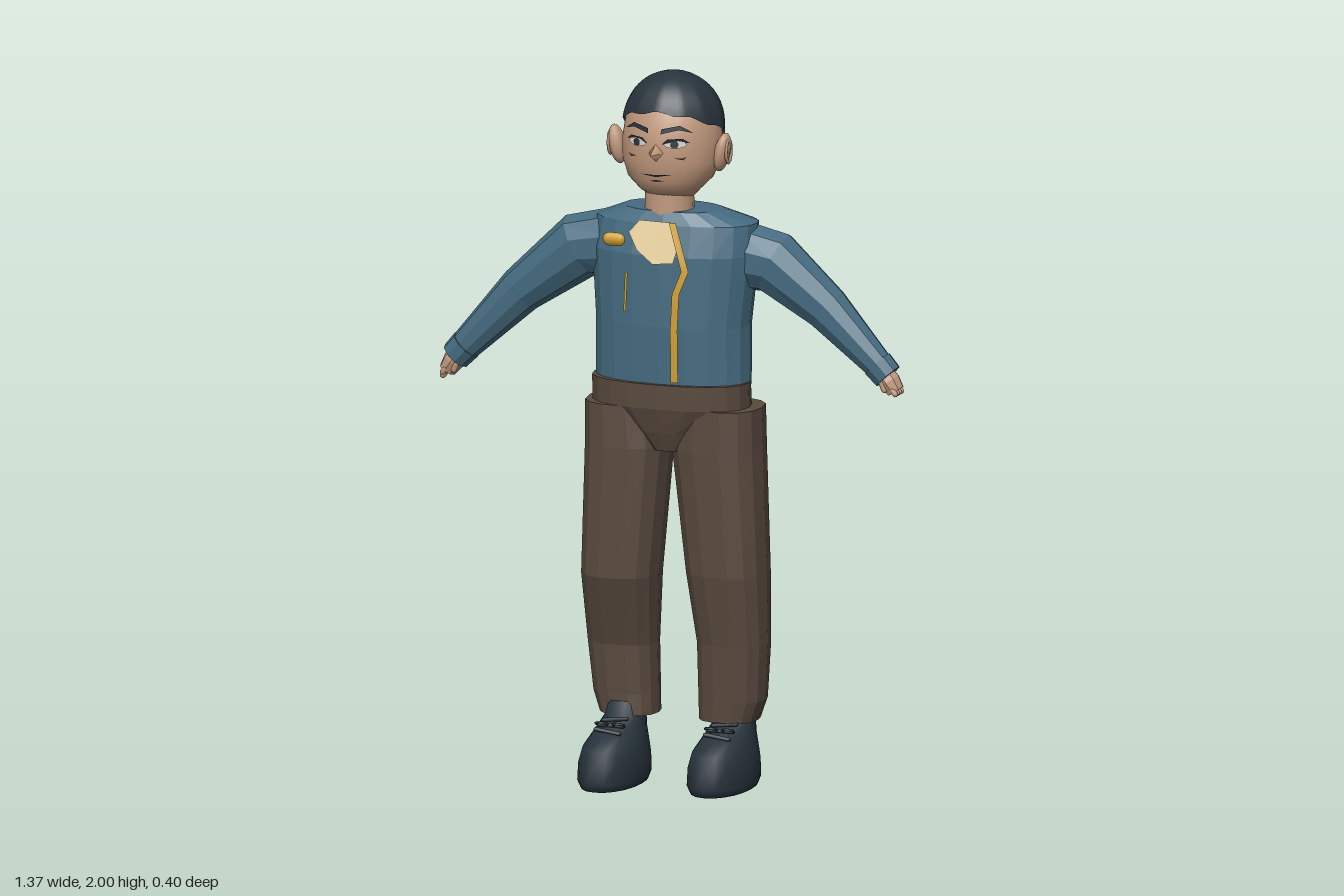
import * as THREE from 'three';
import { mergeVertices } from 'three/addons/utils/BufferGeometryUtils.js';

const paint = (name, color, side = THREE.FrontSide) => {
  const m = new THREE.MeshStandardMaterial({ color, side });
  m.name = name;
  return m;
};

export function createModel() {
  const root = new THREE.Group();
  const shirt = paint('blue cloth', 0x456b80);
  const brown = paint('brown cloth', 0x594a3f);
  const skin = paint('skin', 0xc0987c);
  const dark = paint('hair and shoe black', 0x28333b, THREE.DoubleSide);
  const gold = paint('gold', 0xd09f30);
  const cream = paint('cream', 0xe6cf9c);
  const white = paint('eye white', 0xd8d2c8);
  const line = paint('face line', 0x5c3b30);

  const add = (name, geo, mat, pos) => {
    const m = new THREE.Mesh(geo, mat);
    m.name = name;
    if (pos) m.position.set(...pos);
    root.add(m);
    return m;
  };

  // Closed skin over elliptic rings [x, y, z, halfWidth, halfDepth, tilt]
  function loft(rings, n, power = 1, smooth = false) {
    const pos = [], idx = [];
    const bend = v => Math.sign(v) * Math.abs(v) ** power;
    for (const [x, y, z, a, b, t = 0] of rings) {
      for (let i = 0; i < n; i++) {
        const p = (i / n) * Math.PI * 2, u = a * bend(Math.cos(p));
        pos.push(x + u * Math.cos(t), y + u * Math.sin(t), z + b * bend(Math.sin(p)));
      }
    }
    const last = (rings.length - 1) * n, c0 = rings.length * n;
    pos.push(...rings[0].slice(0, 3), ...rings.at(-1).slice(0, 3));
    for (let i = 0; i < n; i++) {
      const j = (i + 1) % n;
      for (let r = 0; r < last; r += n) {
        idx.push(r + i, r + n + i, r + j, r + j, r + n + i, r + n + j);
      }
      idx.push(c0, i, j, c0 + 1, last + j, last + i);
    }
    let g = new THREE.BufferGeometry();
    g.setAttribute('position', new THREE.Float32BufferAttribute(pos, 3));
    g.setIndex(idx);
    if (!smooth) g = g.toNonIndexed();
    g.computeVertexNormals();
    return g;
  }

  // Upright ring from its left, right, front and back limits
  const span = ([y, x0, x1, zf, zb]) =>
    [(x0 + x1) / 2, y, (zf + zb) / 2, (x1 - x0) / 2, (zf - zb) / 2];

  // Tilt each ring square to its path in the xy plane
  const along = path => path.map((p, i) => {
    const a = path[Math.max(i - 1, 0)], b = path[Math.min(i + 1, path.length - 1)];
    return [...p, Math.atan2(a[0] - b[0], b[1] - a[1])];
  });

  // Front surface depth of a ring stack
  const frontOf = rings => (x, y) => {
    let i = 0;
    while (i < rings.length - 2 && rings[i + 1][1] < y) i++;
    const A = rings[i], B = rings[i + 1];
    const k = THREE.MathUtils.clamp((y - A[1]) / (B[1] - A[1]), 0, 1);
    const [cx, , cz, a, b] = A.map((v, q) => v + (B[q] - v) * k);
    return cz + b * Math.sqrt(Math.max(0, 1 - ((x - cx) / a) ** 2));
  };

  // Thin painted patch laid on a front surface
  function patch(name, pts, mat, surface, lift) {
    const g = new THREE.ShapeGeometry(new THREE.Shape(pts.map(p => new THREE.Vector2(...p))));
    const p = g.attributes.position;
    for (let i = 0; i < p.count; i++) p.setZ(i, surface(p.getX(i), p.getY(i)) + lift);
    g.computeVertexNormals();
    return add(name, g, mat);
  }
  const strip = (pts, w) => [...pts.map(([x, y]) => [x - w, y]),
    ...pts.slice().reverse().map(([x, y]) => [x + w, y])];
  const oval = (x, y, a, b, n = 10) => Array.from({ length: n }, (_, i) => {
    const t = (i / n) * Math.PI * 2;
    return [x + a * Math.cos(t), y + b * Math.sin(t)];
  });

  // Torso
  const torso = [[1.06, -0.19, 0.24, 0.055, -0.17], [1.14, -0.2, 0.247, 0.068, -0.175],
    [1.3, -0.2, 0.245, 0.074, -0.19], [1.5, -0.215, 0.265, 0.068, -0.2],
    [1.585, -0.205, 0.262, 0.045, -0.19], [1.62, -0.12, 0.165, 0.03, -0.135]].map(span);
  add('torso', loft(torso, 20, 0.9), shirt);
  const chest = frontOf(torso);

  // Collar lining, zip, pocket line and badge
  patch('collarLining', [[-0.07, 1.56], [-0.04, 1.595], [0.055, 1.595], [0.08, 1.525],
    [0.07, 1.485], [0.01, 1.48], [-0.04, 1.515]], cream, chest, 0.011);
  const zip = [[0.076, 1.15], [0.076, 1.3], [0.08, 1.4], [0.105, 1.465], [0.085, 1.53], [0.06, 1.595]];
  patch('zip', strip(zip, 0.01), gold, chest, 0.016);
  patch('pocketLine', strip([[-0.074, 1.34], [-0.07, 1.45]], 0.004), gold, chest, 0.012);
  add('badge', new THREE.CapsuleGeometry(0.019, 0.028, 3, 8).rotateZ(Math.PI / 2)
    .scale(1, 1, 0.65), gold, [-0.083, 1.555, 0.132]);

  // Trousers
  add('hips', loft([[0.945, -0.03, 0.095, 0.04, -0.12], [1.0, -0.1, 0.15, 0.06, -0.145],
    [1.07, -0.205, 0.25, 0.078, -0.165], [1.14, -0.205, 0.25, 0.08, -0.155]].map(span), 20, 0.85), brown);
  add('leftLeg', loft([[0.18, 0.097, 0.262, 0, -0.155], [0.24, 0.096, 0.284, 0.005, -0.157],
    [0.4, 0.095, 0.295, 0.02, -0.16], [0.6, 0.07, 0.297, 0.05, -0.162],
    [0.95, 0.03, 0.287, 0.06, -0.165], [1.07, 0.04, 0.285, 0.06, -0.16]].map(span), 14, 0.8), brown);
  add('rightLeg', loft([[0.18, -0.195, -0.03, 0, -0.15], [0.24, -0.215, -0.03, 0, -0.15],
    [0.38, -0.23, -0.032, 0.008, -0.152], [0.58, -0.232, -0.015, 0.07, -0.145],
    [0.95, -0.222, 0.018, 0.072, -0.155], [1.07, -0.222, 0.0, 0.068, -0.155]].map(span), 14, 0.8), brown);

  // Shoes, with laces
  for (const [side, x, z] of [['left', 0.19, -0.03], ['right', -0.118, 0.01]]) {
    add(side + 'Shoe', loft([[0, -0.08, 0.08, 0.18, -0.13], [0.02, -0.089, 0.089, 0.187, -0.135],
      [0.07, -0.087, 0.087, 0.183, -0.135], [0.11, -0.078, 0.078, 0.165, -0.134],
      [0.145, -0.064, 0.064, 0.09, -0.132], [0.175, -0.056, 0.056, 0.005, -0.13],
      [0.22, -0.056, 0.056, -0.005, -0.125]].map(span)
      .map(r => [r[0] + x, r[1], r[2] + z, r[3], r[4]]), 20, 0.95, true), dark);
    for (let i = 0; i < 3; i++) {
      const lace = add(side + 'Lace', new THREE.CapsuleGeometry(0.006, 0.07, 2, 6)
        .rotateZ(Math.PI / 2), dark, [x, 0.152 + i * 0.011, z + 0.08 - i * 0.03]);
      lace.rotation.z = (i - 1) * 0.12;
    }
    for (const s of [-1, 1]) {
      const loop = add(side + 'Bow', new THREE.TorusGeometry(0.017, 0.004, 4, 10), dark,
        [x + s * 0.025, 0.168, z + 0.06]);
      loop.rotation.x = 1.2;
    }
  }

  // Sleeves, cuffs and hands
  const arms = {
    left: [[0.2, 1.49, -0.085, 0.1, 0.075], [0.31, 1.475, -0.085, 0.092, 0.075],
      [0.465, 1.357, -0.085, 0.066, 0.06], [0.63, 1.205, -0.07, 0.041, 0.038]],
    right: [[-0.15, 1.5, -0.065, 0.1, 0.075], [-0.255, 1.485, -0.065, 0.092, 0.075],
      [-0.43, 1.345, -0.062, 0.066, 0.055], [-0.6, 1.168, -0.05, 0.043, 0.035]],
  };
  for (const [side, path] of Object.entries(arms)) {
    const s = side === 'left' ? 1 : -1;
    add(side + 'Sleeve', loft(along(path), 10), shirt);
    const [x, y, z] = path.at(-1);
    add(side + 'Cuff', loft(along([[x - s * 0.012, y + 0.012, z, 0.046, 0.042],
      [x + s * 0.02, y - 0.022, z, 0.043, 0.04]]), 10), shirt);
    add(side + 'Hand', loft(along([[x, y, z, 0.024, 0.026],
      [x + s * 0.025, y - 0.035, z, 0.031, 0.032],
      [x + s * 0.043, y - 0.062, z, 0.025, 0.028]]), 8), skin);
    for (let i = 0; i < 4; i++) {
      const long = s < 0 && i === 0 ? 0.035 : 0.012;
      const f = add(side + 'Finger', new THREE.CapsuleGeometry(0.0085, long, 2, 6), skin,
        [x + s * (0.04 + long * 0.45), y - 0.055 - long * 0.5, z - 0.025 + i * 0.016]);
      f.rotation.z = s * 0.7;
    }
    const thumb = add(side + 'Thumb', new THREE.CapsuleGeometry(0.009, 0.025, 2, 6), skin,
      [x + s * 0.012, y - 0.045, z + 0.022]);
    thumb.rotation.z = s * 0.4;
  }

  // Neck and head
  add('neck', new THREE.CylinderGeometry(0.066, 0.07, 0.12, 16), skin, [0.018, 1.645, -0.035]);
  const head = [[1.65, -0.04, 0.08, 0.0, -0.1], [1.675, -0.065, 0.105, 0.045, -0.115],
    [1.71, -0.1, 0.14, 0.068, -0.145], [1.76, -0.119, 0.159, 0.076, -0.175],
    [1.82, -0.12, 0.16, 0.078, -0.187], [1.9, -0.108, 0.148, 0.064, -0.182],
    [1.95, -0.07, 0.11, 0.02, -0.14]].map(span);
  add('head', loft(head, 28, 1, true), skin);
  const face = frontOf(head);
  for (const s of [-1, 1]) {
    const ear = add('ear', new THREE.SphereGeometry(1, 12, 10).scale(0.022, 0.056, 0.031), skin,
      [0.016 + s * 0.155, 1.785, -0.042]);
    ear.rotation.z = -s * 0.2;
    add('innerEar', new THREE.TorusGeometry(0.018, 0.005, 5, 12).scale(1, 1.7, 1)
      .rotateY(Math.PI / 2), skin, [0.016 + s * 0.174, 1.79, -0.04]);

    // Eyes, brows and cheek creases
    const ex = 0.018 + s * 0.056, at = (dx, y) => [ex + s * dx, y];
    patch('eyeWhite', oval(ex, 1.821, 0.03, 0.011), white, face, 0.005);
    patch('iris', oval(ex, 1.821, 0.011, 0.0105), dark, face, 0.008);
    const ccw = pts => (s > 0 ? pts : pts.reverse());
    patch('upperLid', ccw([at(-0.034, 1.822), at(0.036, 1.826), at(0.02, 1.838), at(-0.02, 1.836)]),
      dark, (x, y) => face(x, 1.825), 0.007);
    patch('brow', ccw([at(-0.038, 1.85), at(0.01, 1.862), at(0.045, 1.852), at(0.012, 1.874),
      at(-0.036, 1.864)]), dark, face, 0.012);
    patch('cheekCrease', ccw([at(0.0, 1.782), at(0.022, 1.777), at(0.03, 1.786), at(0.02, 1.783)]),
      line, face, 0.006);
  }
  add('nose', new THREE.ConeGeometry(0.03, 0.06, 4).rotateX(Math.PI / 2)
    .scale(0.9, 1.1, 1), skin, [0.02, 1.795, 0.092]);
  patch('mouth', [[-0.028, 1.732], [0.02, 1.727], [0.07, 1.736], [0.02, 1.733]], dark, face, 0.008);
  patch('lowerLip', [[0.0, 1.715], [0.02, 1.712], [0.042, 1.716], [0.02, 1.718]], line, face, 0.006);

  // Hair cap: a pleated dome with a hairline that drops to the nape
  const hair = new THREE.SphereGeometry(1, 72, 14, 0, Math.PI * 2, 0, Math.PI / 2);
  const p = hair.attributes.position, uv = hair.attributes.uv;
  for (let i = 0; i < p.count; i++) {
    const t = uv.getX(i) * Math.PI * 2, c = Math.cos(t), s = Math.sin(t);
    const rim = s > 0 ? 1.845 + 0.06 * s + 0.004 * Math.sin(t * 9)
      : 1.845 - 0.055 * THREE.MathUtils.smoothstep(-s, 0.15, 0.7) + 0.003 * Math.sin(t * 14);
    const row = Math.round(i / 73 - 0.49) / 14;
    const y = rim + (2 - rim) * Math.cos(row * Math.PI / 2);
    const k = Math.sqrt(Math.max(0, 1 - (Math.max(0, y - 1.85) / 0.15) ** 2));
    const pleat = 1 - 0.025 * Math.abs(Math.sin(t * 6)) * Math.sin(row * Math.PI * 0.6);
    p.setXYZ(i, 0.02 + 0.145 * k * pleat * c, y, -0.06 + 0.138 * k * pleat * s);
  }
  hair.deleteAttribute('uv');
  hair.deleteAttribute('normal');
  // The angle runs from +x to +z, so the faces are turned over
  const cap = mergeVertices(hair);
  cap.setIndex(Array.from(cap.index.array).reverse());
  cap.computeVertexNormals();
  add('hair', cap, dark);

  return root;
}
